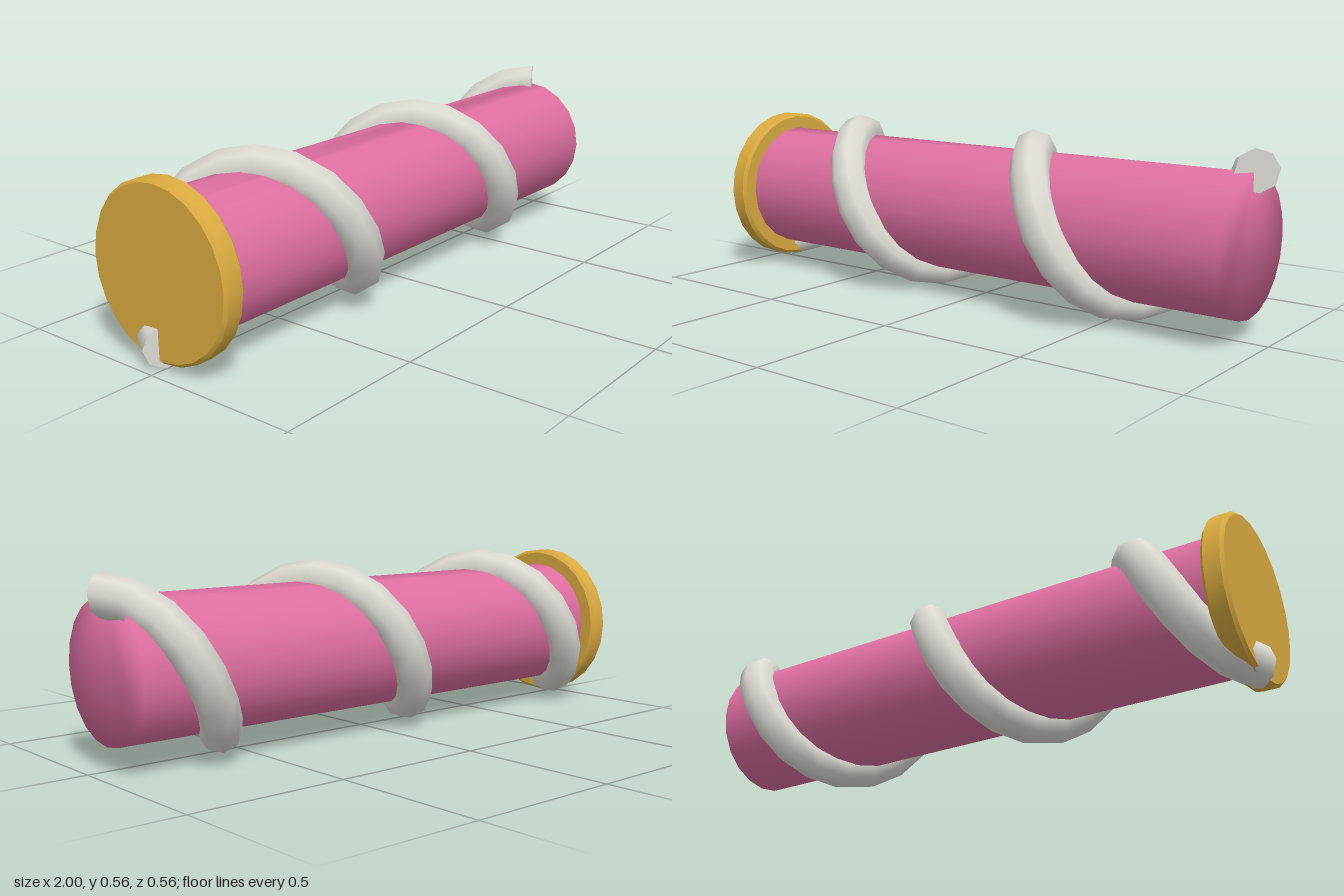
import * as THREE from 'three';
import { toCreasedNormals } from 'three/addons/utils/BufferGeometryUtils.js';

const AXIS_Y = 0.28;

const material = (name, color, extra = {}) => {
  const m = new THREE.MeshStandardMaterial({ color, ...extra });
  m.name = name;
  return m;
};

// Helix around the x axis: starts underneath, climbs the back, ends on top.
class Helix extends THREE.Curve {
  getPoint(t, target = new THREE.Vector3()) {
    const a = t * 2.5 * Math.PI * 2, r = 0.216;
    return target.set(-0.945 + 1.89 * t, -r * Math.cos(a), -r * Math.sin(a));
  }
}

// Prism along x whose side and end faces share soft normals.
function softRod(x0, x1, radius, sides) {
  const pos = [], index = [];
  for (const x of [x0, x1]) {
    for (let i = 0; i < sides; i++) {
      const a = (i / sides) * Math.PI * 2;
      pos.push(x, radius * Math.cos(a), radius * Math.sin(a));
    }
  }
  for (let i = 0; i < sides; i++) {
    const j = (i + 1) % sides;
    index.push(i, i + sides, j, j, i + sides, j + sides);
    if (i > 0 && j > 0) {
      index.push(0, i, j);
      index.push(sides, sides + j, sides + i);
    }
  }
  // Wind every triangle outward
  for (let k = 0; k < index.length; k += 3) {
    const [a, b, c] = [0, 1, 2].map((n) => new THREE.Vector3().fromArray(pos, index[k + n] * 3));
    const mid = a.clone().add(b).add(c).divideScalar(3);
    mid.x -= (x0 + x1) / 2;
    const n = b.clone().sub(a).cross(c.clone().sub(a));
    if (n.dot(mid) < 0) [index[k + 1], index[k + 2]] = [index[k + 2], index[k + 1]];
  }
  const g = new THREE.BufferGeometry();
  g.setAttribute('position', new THREE.Float32BufferAttribute(pos, 3));
  g.setIndex(index);
  g.computeVertexNormals();
  return g;
}

// Flat fan closing one end ring of a tube.
function tubeCap(tube, ring, radial) {
  const p = tube.attributes.position, pos = [];
  const at = (i) => new THREE.Vector3().fromBufferAttribute(p, ring * (radial + 1) + i);
  for (let i = 1; i < radial - 1; i++) {
    for (const k of [0, i, i + 1]) pos.push(...at(k).toArray());
  }
  const g = new THREE.BufferGeometry();
  g.setAttribute('position', new THREE.Float32BufferAttribute(pos, 3));
  g.computeVertexNormals();
  // Flip when the fan faces into the tube
  const out = at(0).sub(new THREE.Vector3().fromBufferAttribute(p, (ring ? ring - 1 : 1) * (radial + 1)));
  if (new THREE.Vector3().fromBufferAttribute(g.attributes.normal, 0).dot(out) < 0) {
    g.setIndex([...Array(pos.length / 3).keys()].reverse());
    g.computeVertexNormals();
  }
  return g;
}

export function createModel() {
  const pink = material('pink', 0xdd6f9f);
  const gold = material('gold', 0xd9aa40);
  const ivory = material('ivory', 0xdcd9d2);

  const model = new THREE.Group();
  model.name = 'wrappedRod';
  const add = (name, geometry, mat, parent = model) => {
    const mesh = new THREE.Mesh(geometry, mat);
    mesh.name = name;
    parent.add(mesh);
    return mesh;
  };

  // Rod
  add('rod', softRod(-0.92, 0.937, 0.212, 20), pink).position.y = AXIS_Y;

  // Bevelled end disc
  const h = 0.035, r = 0.264, b = 0.01;
  const profile = [[0, -h], [r - b, -h], [r, -h + b], [r, h - b], [r - b, h], [0, h]]
    .map(([x, y]) => new THREE.Vector2(x, y));
  const disc = toCreasedNormals(new THREE.LatheGeometry(profile, 24), 0.6);
  disc.rotateZ(-Math.PI / 2);
  add('endDisc', disc, gold).position.set(-0.926, AXIS_Y, 0);

  // Spiral band with closed ends
  const spiral = new THREE.Group();
  spiral.name = 'spiral';
  spiral.position.y = AXIS_Y;
  model.add(spiral);
  const steps = 40, radial = 8;
  const tube = new THREE.TubeGeometry(new Helix(), steps, 0.064, radial, false);
  add('spiralBand', tube, ivory, spiral);
  add('spiralStart', tubeCap(tube, 0, radial), ivory, spiral);
  add('spiralEnd', tubeCap(tube, steps, radial), ivory, spiral);

  return model;
}
